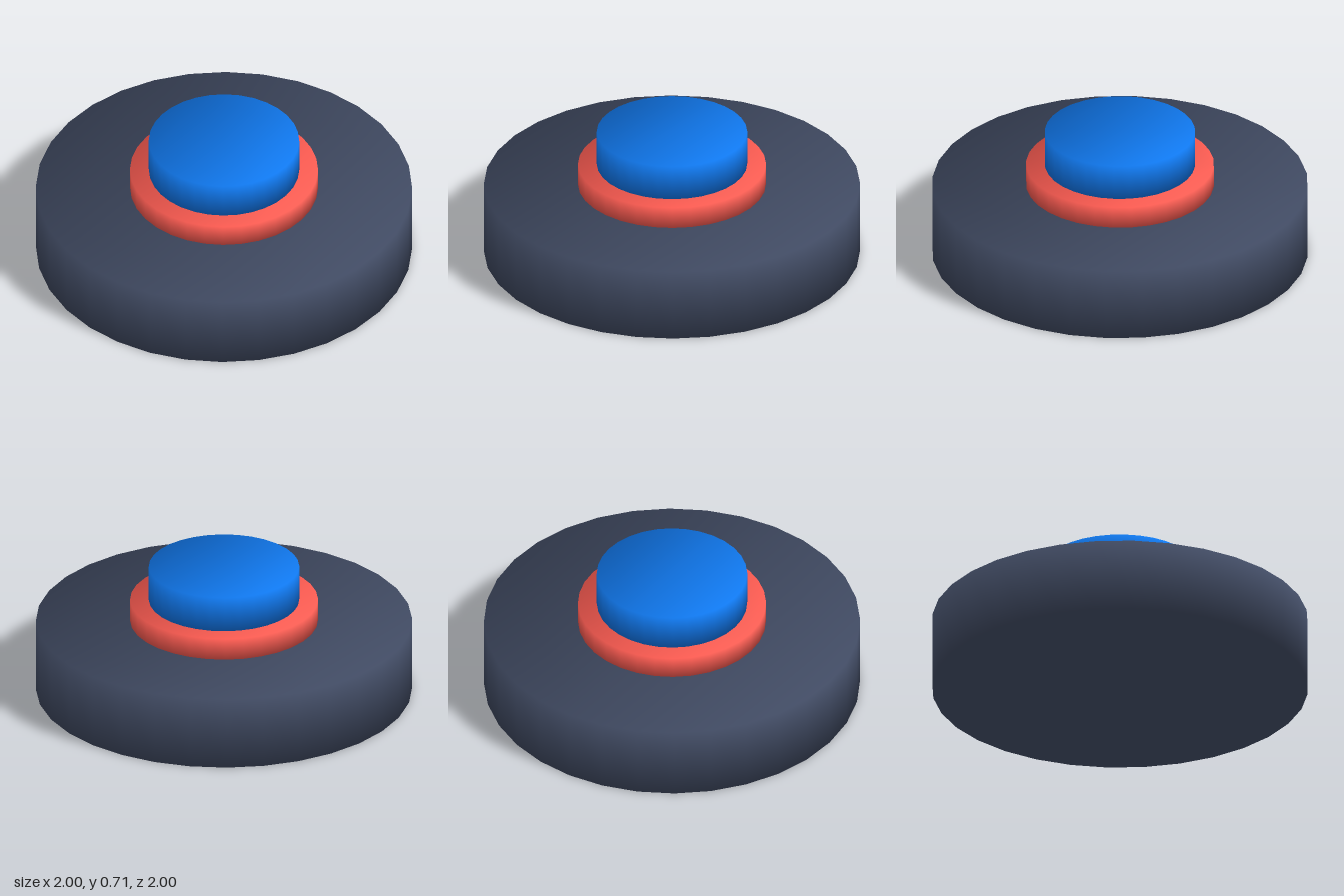
import * as THREE from 'three';

// Disc standing on y0, with soft normals that lean outward evenly around both rims
function softDisc(name, radius, y0, y1, color, sides = 32) {
  const rim = [];
  for (let i = 0; i < sides; i++) {
    const a = (i / sides) * Math.PI * 2;
    rim.push(new THREE.Vector2(Math.cos(a) * radius, Math.sin(a) * radius));
  }
  const geometry = new THREE.ExtrudeGeometry(new THREE.Shape(rim), { depth: y1 - y0, bevelEnabled: false });
  geometry.rotateX(-Math.PI / 2);
  geometry.translate(0, y0, 0);

  const { position, normal } = geometry.attributes;
  const middle = (y0 + y1) / 2;
  const n = new THREE.Vector3();
  for (let i = 0; i < position.count; i++) {
    n.set(position.getX(i) / radius, Math.sign(position.getY(i) - middle), position.getZ(i) / radius).normalize();
    normal.setXYZ(i, n.x, n.y, n.z);
  }

  const mesh = new THREE.Mesh(geometry, new THREE.MeshStandardMaterial({ color }));
  mesh.name = name;
  return mesh;
}

export function createModel() {
  const model = new THREE.Group();
  model.name = 'pushButton';
  model.add(
    softDisc('base', 1, 0, 0.4, 0x404a62),
    softDisc('collar', 0.5, 0.4, 0.52, 0xff5c52),
    softDisc('buttonCap', 0.4, 0.52, 0.715, 0x1078ee),
  );
  return model;
}
